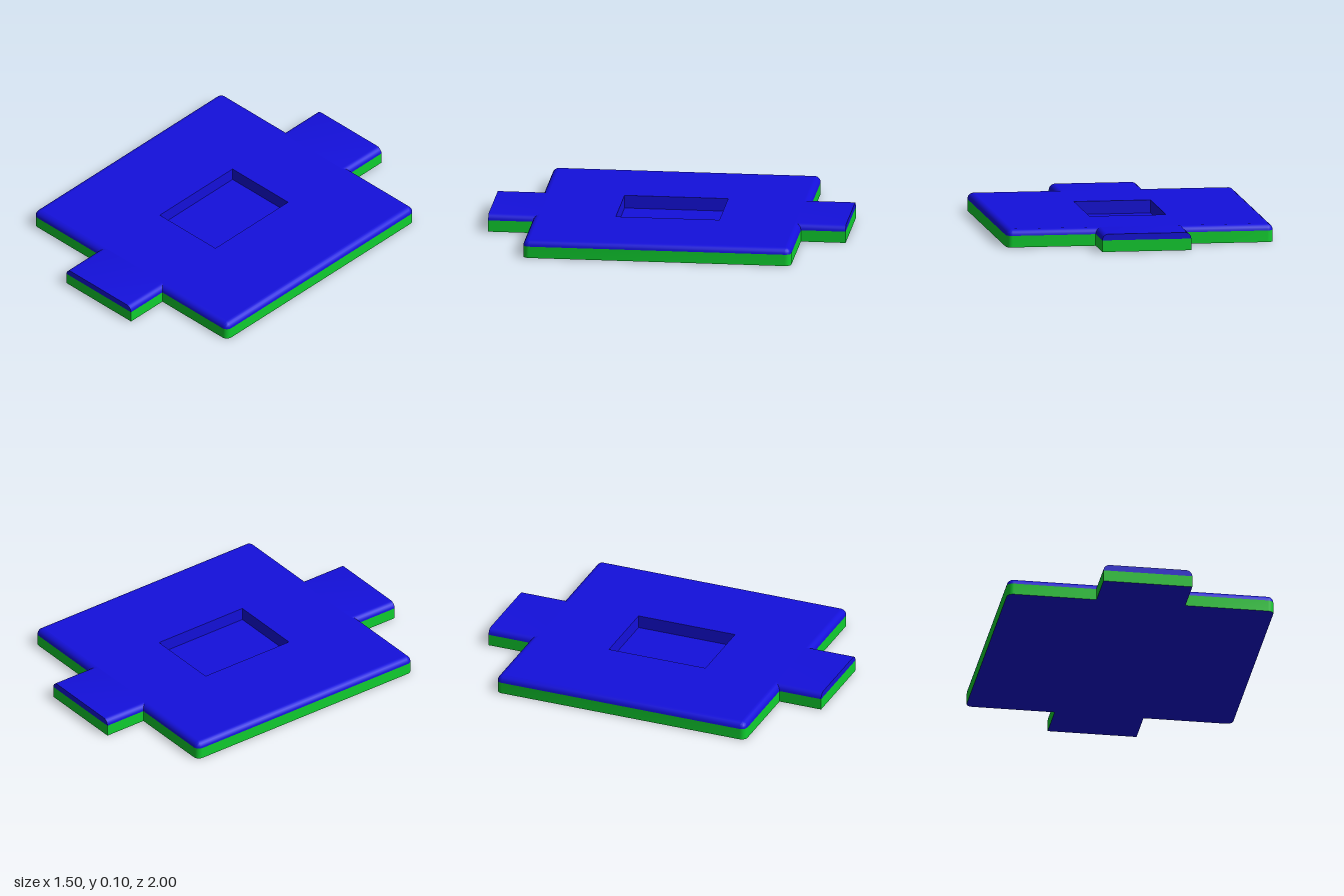
import * as THREE from 'three';
import { toCreasedNormals } from 'three/addons/utils/BufferGeometryUtils.js';

const HALF = 0.75, TAB = 0.25, END = 1, TOP = 0.1, SEAM = 0.065;
const R = TOP - SEAM;               // radius of every rounded edge
const FLOOR = 0.027, STEPS = 6;     // pocket floor height, arc segments
const POCKET = [[0.215, 0.29], [-0.215, 0.29], [-0.215, -0.29], [0.215, -0.29]];

const arc = (cx, cy, r, start) => Array.from({ length: STEPS + 1 }, (_, i) => {
  const a = start + (i / STEPS) * Math.PI / 2;
  return [cx + r * Math.cos(a), cy + r * Math.sin(a)];
});

// Counter-clockwise plate outline, inset from its edge, optionally with both tabs
function outline(inset, withTabs = false) {
  const c = HALF - R, pts = [];
  [[1, 1], [-1, 1], [-1, -1], [1, -1]].forEach(([sx, sy], k) => {
    pts.push(...arc(sx * c, sy * c, R - inset, k * Math.PI / 2));
    if (withTabs && k % 2 === 0) {
      pts.push([sx * TAB, sy * HALF], [sx * TAB, sy * END], [-sx * TAB, sy * END], [-sx * TAB, sy * HALF]);
    }
  });
  return pts;
}

const ring = (pts, y) => pts.map(([x, d]) => [x, y, -d]);

// Skin joining equal-length closed rings of points
function loft(rings) {
  const n = rings[0].length, index = [];
  for (let j = 0; j < rings.length - 1; j++) {
    for (let i = 0; i < n; i++) {
      const a = j * n + i, b = j * n + (i + 1) % n;
      index.push(a, b, b + n, a, b + n, a + n);
    }
  }
  const g = new THREE.BufferGeometry();
  g.setAttribute('position', new THREE.Float32BufferAttribute(rings.flat(2), 3));
  g.setIndex(index);
  return toCreasedNormals(g, 0.6);
}

const shape = pts => new THREE.Shape(pts.map(p => new THREE.Vector2(...p)));

// Flat horizontal sheet, facing up or down
function sheet(s, y, up = true) {
  return new THREE.ShapeGeometry(s).rotateX(up ? -Math.PI / 2 : Math.PI / 2).translate(0, y, 0);
}

export function createModel() {
  const model = new THREE.Group();
  model.name = 'tabbedPlate';
  const blue = new THREE.MeshStandardMaterial({ color: 0x1410dc });
  const green = new THREE.MeshStandardMaterial({ color: 0x10d030 });
  const add = (name, geometry, material, parent = model) => {
    const mesh = new THREE.Mesh(geometry, material);
    mesh.name = name;
    parent.add(mesh);
  };

  // Green side wall and blue underside
  const full = outline(0, true);
  add('sideWall', loft([ring(full, 0), ring(full, SEAM)]), green);
  add('underside', sheet(shape(full), 0, false), blue);

  // Rounded upper edge of the square plate
  const edge = arc(0, 0, R, 0).map(([x, y]) => ring(outline(R - x), SEAM + y));
  add('plateEdge', loft(edge), blue);

  // Top surface with the pocket opening
  const c = HALF - R;
  const top = shape([[c, c], [-c, c], [-c, -c], [c, -c]]);
  top.holes.push(new THREE.Path(POCKET.map(p => new THREE.Vector2(...p))));
  add('plateTop', sheet(top, TOP), blue);

  // Pocket walls and floor
  const inward = [...POCKET].reverse();
  add('pocketWalls', loft([ring(inward, FLOOR), ring(inward, TOP)]), blue);
  add('pocketFloor', sheet(shape(POCKET), FLOOR), blue);

  // Tab covers: rounded along the sides, cut square at the end
  const profile = [...arc(TAB - R, SEAM, R, 0), ...arc(R - TAB, SEAM, R, Math.PI / 2)];
  const section = z => profile.map(([x, y]) => [x, y, z]);
  for (const [name, turn] of [['frontTab', 0], ['backTab', Math.PI]]) {
    const tab = new THREE.Group();
    tab.name = name;
    tab.rotation.y = turn;
    add(name + 'Cover', loft([section(c), section(END)]), blue, tab);
    add(name + 'End', new THREE.ShapeGeometry(shape(profile)).translate(0, 0, END), blue, tab);
    model.add(tab);
  }
  return model;
}
